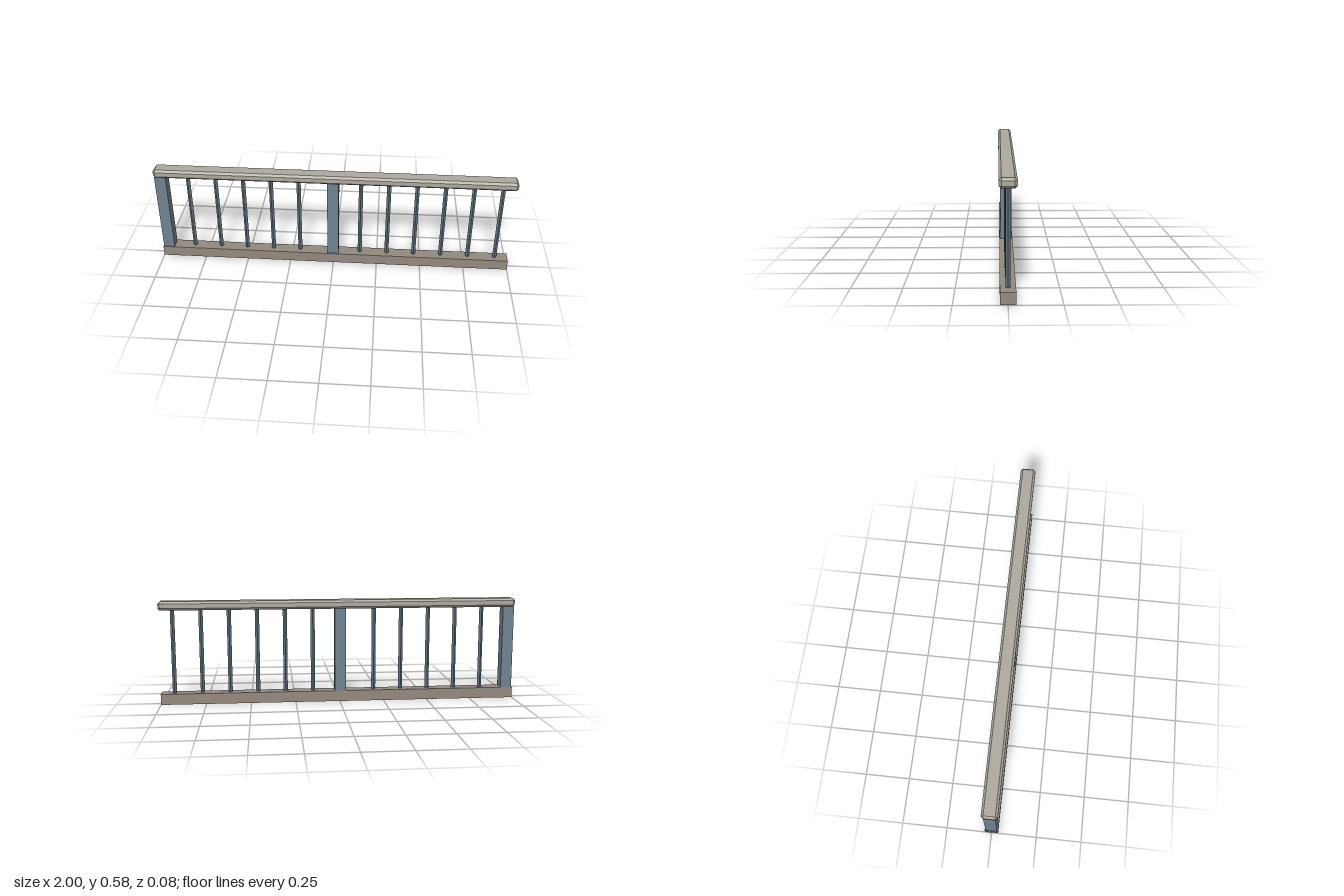
import * as THREE from 'three';
import { ConvexGeometry } from 'three/addons/geometries/ConvexGeometry.js';

const paint = (name, color) => {
  const m = new THREE.MeshStandardMaterial({ color });
  m.name = name;
  return m;
};

// Box with every edge and corner cut flat by c
function chamferedBox(w, h, d, c) {
  const points = [];
  for (const x of [-w / 2, w / 2])
    for (const y of [-h / 2, h / 2])
      for (const z of [-d / 2, d / 2]) {
        const ix = x - Math.sign(x) * c, iy = y - Math.sign(y) * c, iz = z - Math.sign(z) * c;
        points.push(
          new THREE.Vector3(x, iy, iz),
          new THREE.Vector3(ix, y, iz),
          new THREE.Vector3(ix, iy, z)
        );
      }
  return new ConvexGeometry(points);
}

export function createModel() {
  const group = new THREE.Group();
  const stone = paint('warm grey base', 0x938a7e);
  const railGrey = paint('light grey rail', 0xaea99f);
  const blue = paint('blue grey post', 0x6e8391);
  const darkBlue = paint('dark blue grey baluster', 0x61747f);

  const add = (name, geometry, material, x, y) => {
    const mesh = new THREE.Mesh(geometry, material);
    mesh.name = name;
    mesh.position.set(x, y, 0);
    group.add(mesh);
  };

  // Base beam and chamfered handrail
  add('baseBeam', new THREE.BoxGeometry(2, 0.06, 0.074), stone, 0, 0.031);
  add('handrail', chamferedBox(2, 0.049, 0.084, 0.012), railGrey, 0, 0.5525);

  // Square posts, running down through the base
  const postGeometry = new THREE.BoxGeometry(0.063, 0.529, 0.063);
  for (const x of [-0.965, -0.003]) add('post', postGeometry, blue, x, 0.2645);

  // Slim square balusters set cornerwise, a run beside each post
  const balusterGeometry = new THREE.CylinderGeometry(0.0118, 0.0118, 0.475, 4).toNonIndexed();
  balusterGeometry.computeVertexNormals();
  for (const [start, count] of [[-0.815, 5], [0.151, 6]])
    for (let i = 0; i < count; i++)
      add('baluster', balusterGeometry, darkBlue, start + i * 0.155, 0.2925);

  return group;
}
